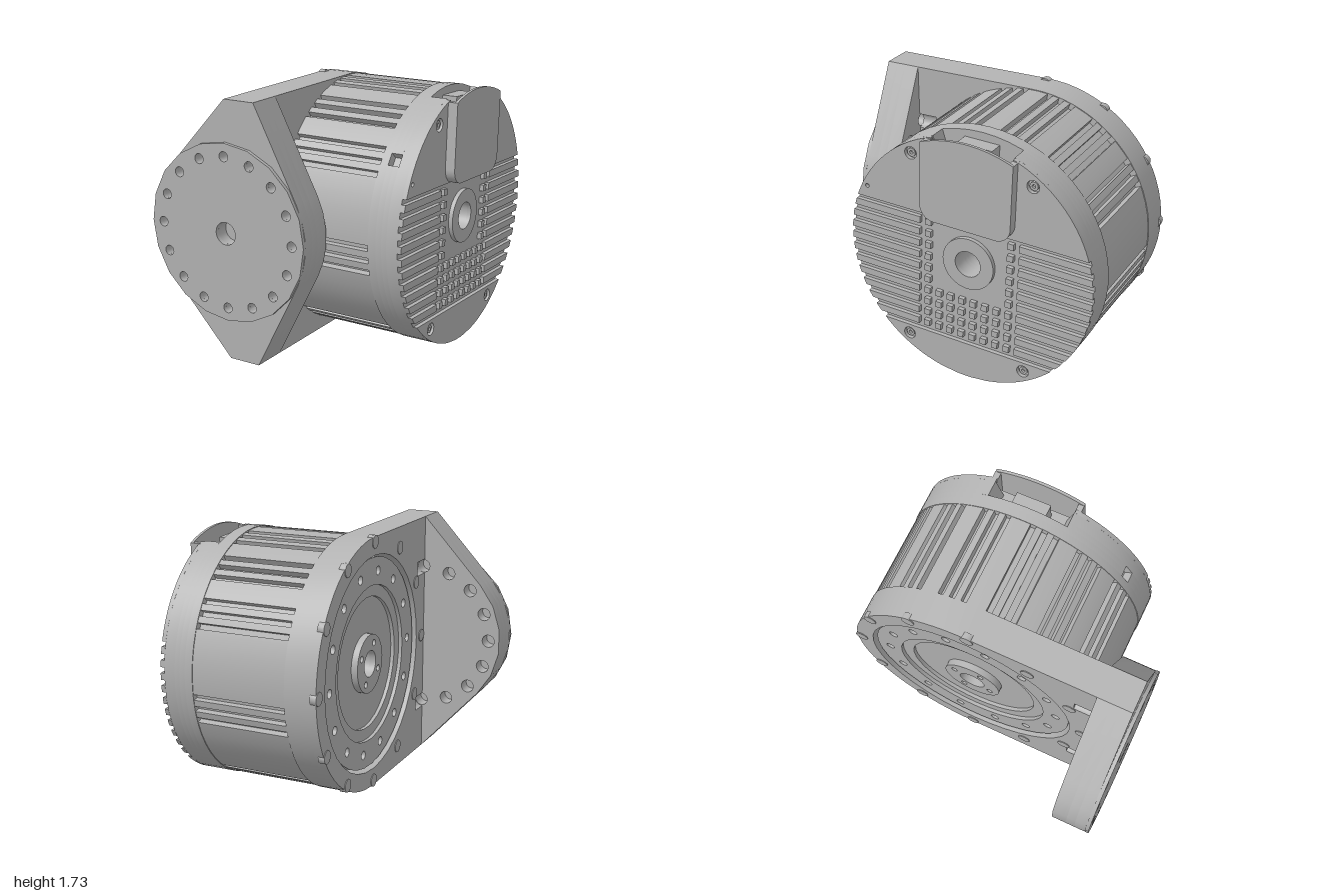
import * as THREE from 'three';
import { toCreasedNormals } from 'three/addons/utils/BufferGeometryUtils.js';

const metal = new THREE.MeshStandardMaterial({ color: 0xb4b4b4 });
metal.name = 'grey metal';
const RAD = Math.PI / 180, R = 0.855, CY = 0.87, CZ = -0.13;
const PX = -0.295, PLATE_R = 0.583; // centre and radius of the front flange

function add(parent, name, geo) {
  const m = new THREE.Mesh(toCreasedNormals(geo, 0.5), metal);
  m.name = name;
  parent.add(m);
  return m;
}
const hole = (x, y, r) => new THREE.Path().absarc(x, y, r, 0, Math.PI * 2, true);
const polygon = pts => new THREE.Shape(pts.map(p => new THREE.Vector2(p[0], p[1])));

// extrude along z from a to b
function alongZ(shape, a, b, seg = 9) {
  return new THREE.ExtrudeGeometry(shape, { depth: b - a, bevelEnabled: false, curveSegments: seg })
    .translate(0, 0, a);
}
// extrude along x from a to b; the shape's x is minus the model's z
const alongX = (shape, a, b, seg = 18) => alongZ(shape, a, b, seg).rotateY(Math.PI / 2);

function disc(r, holes = []) {
  const s = new THREE.Shape().absarc(0, 0, r, 0, Math.PI * 2, false);
  s.holes.push(...holes);
  return s;
}
const circleOfHoles = (n, at, r, start = 0) => Array.from({ length: n }, (_, i) => {
  const a = start + i * Math.PI * 2 / n;
  return hole(at * Math.cos(a), at * Math.sin(a), r);
});

// round outline with rectangular slots [angle from top, half width, depth] and an optional flat on top
function slottedOutline(r, slots, flat) {
  const pts = [];
  const put = (deg, rad) => pts.push([-rad * Math.sin(deg * RAD), rad * Math.cos(deg * RAD)]);
  const marks = [];
  for (let d = -180; d < 180; d += 6) {
    if (!slots.some(s => Math.abs(d - s[0]) <= s[1] + 0.2) && !(flat && Math.abs(d) < 19)) marks.push([d, [r]]);
  }
  for (const [c, w, depth] of slots) {
    marks.push([c - w, [r, r - depth]], [c + w, [r - depth, r]]);
  }
  if (flat) marks.push([-19, [r, flat / Math.cos(19 * RAD)]], [19, [flat / Math.cos(19 * RAD), r]]);
  marks.sort((a, b) => a[0] - b[0]).forEach(([d, radii]) => radii.forEach(q => put(d, q)));
  const s = polygon(pts);
  s.holes.push(hole(0, 0, 0.09));
  return s;
}

// part of a disc between heights v0 and v1 and from u0 to u1
function clippedDisc(u0, u1, v0, v1, r = R) {
  const pts = [], n = 16;
  const w = v => Math.sqrt(Math.max(0, r * r - v * v));
  for (let i = 0; i <= n; i++) {
    const v = v0 + (v1 - v0) * i / n;
    pts.push([Math.min(u1, w(v)), v]);
  }
  for (let i = n; i >= 0; i--) {
    const v = v0 + (v1 - v0) * i / n;
    pts.push([Math.max(u0, -w(v)), v]);
  }
  return polygon(pts);
}

function buildBracket() {
  const g = new THREE.Group();
  g.name = 'bracket';

  // side plate: rounded at the back, square towards the flange
  const side = new THREE.Shape();
  side.moveTo(-0.61, CY - R);
  side.lineTo(-CZ, CY - R);
  side.absarc(-CZ, CY, R, -Math.PI / 2, Math.PI / 2, false);
  side.lineTo(-0.61, CY + R);
  side.holes.push(hole(-CZ, CY, 0.735));
  add(g, 'sidePlate', alongX(side, -0.3, -0.08));

  // web between side plate and flange, with bolt channels on both faces
  const web = new THREE.Shape();
  web.moveTo(-0.3, CY - R);
  web.lineTo(-0.08, CY - R);
  for (const y of [0.41, 1.33]) web.absarc(-0.08, y, 0.05, -Math.PI / 2, Math.PI / 2, true);
  web.lineTo(-0.08, CY + R);
  web.lineTo(-0.3, CY + R);
  for (const y of [1.37, 0.37]) web.absarc(-0.3, y, 0.05, Math.PI / 2, -Math.PI / 2, true);
  add(g, 'channelledWeb', alongZ(web, 0.61, 0.74));

  // flange: tangents run from the web's corners to a round centre
  const flange = (boltR, centre) => {
    const pts = [];
    const arc = (a, b) => {
      for (let i = 0; i <= 5; i++) {
        const t = (a + (b - a) * i / 5) * RAD;
        pts.push([PX + PLATE_R * Math.cos(t), CY + PLATE_R * Math.sin(t)]);
      }
    };
    pts.push([-0.3, CY - R], [-0.08, CY - R]);
    arc(-27, 27);
    pts.push([-0.08, CY + R], [-0.3, CY + R]);
    arc(137, 223);
    const s = polygon(pts);
    if (boltR) s.holes.push(...boltHoles(boltR));
    if (centre) s.holes.push(hole(PX, CY, 0.075));
    return s;
  };
  const boltHoles = r => Array.from({ length: 16 }, (_, i) =>
    hole(PX + 0.498 * Math.cos(i * Math.PI / 8), CY + 0.498 * Math.sin(i * Math.PI / 8), r));
  add(g, 'flangeBack', alongZ(flange(0.045, false), 0.74, 0.84));
  add(g, 'flangeCore', alongZ(flange(0, false), 0.84, 0.9));
  add(g, 'flangeFront', alongZ(flange(0.033, true), 0.9, 0.975));
  const face = new THREE.Shape().absarc(PX, CY, 0.585, 0, Math.PI * 2, false);
  face.holes.push(...boltHoles(0.033), hole(PX, CY, 0.075));
  add(g, 'flangeFace', alongZ(face, 0.975, 1, 10));
  return g;
}

function buildMotor() {
  const g = new THREE.Group();
  g.name = 'motor';
  const bore = hole(0, 0, 0.09);

  // body with groups of three cooling slots
  const slots = [];
  for (const c of [11.5, 34.5, 57.5, 100, 147]) {
    for (const k of [-5.6, 0, 5.6]) slots.push([c + k, 1.3, 0.04], [-c - k, 1.3, 0.04]);
  }
  add(g, 'slottedBody', alongX(slottedOutline(0.85, slots), -0.08, 0.575));

  // rotor face inside the side plate
  add(g, 'rotorRing', alongX(disc(0.715, [hole(0, 0, 0.53), ...circleOfHoles(14, 0.62, 0.03)]), -0.275, -0.08));
  add(g, 'rotorStep', alongX(disc(0.53, [hole(0, 0, 0.45)]), -0.25, -0.08));
  add(g, 'rotorDisc', alongX(disc(0.45, [bore]), -0.225, -0.08));
  add(g, 'rotorHub', alongX(disc(0.2, [bore, ...circleOfHoles(4, 0.145, 0.022, 0.5)]), -0.27, -0.225));

  // end cap in layers, with a side pocket and a connector bay on top
  const pocket = [[56, 2.7, 0.06]];
  add(g, 'capCollar', alongX(slottedOutline(R, []), 0.575, 0.63));
  add(g, 'capPocket', alongX(slottedOutline(R, pocket), 0.63, 0.67));
  add(g, 'capPocketBay', alongX(slottedOutline(R, pocket, 0.66), 0.67, 0.705));
  add(g, 'capBay', alongX(slottedOutline(R, [], 0.66), 0.705, 0.782));

  // raised face areas, leaving a sunken band for the fins
  const X0 = 0.782, X1 = 0.81;
  const cover = s => alongX(s, X0, X1);
  const screws = [[0.42, 0.665], [-0.42, 0.665], [0.42, -0.665], [-0.42, -0.665]];
  const upper = [clippedDisc(-1, -0.28, 0.27, 0.803), clippedDisc(0.28, 1, 0.27, 0.803)];
  const middle = clippedDisc(-0.28, 0.28, 0.27, 0.66);
  const lower = clippedDisc(-1, 1, -0.854, -0.6);
  for (const [u, v] of screws) (v < 0 ? lower : u < 0 ? upper[0] : upper[1]).holes.push(hole(u, v, 0.042));
  upper[0].holes.push(hole(-0.74, 0.35, 0.014)); 
  for (const s of [...upper, middle, lower]) add(g, 'capFace', cover(s));
  for (const [u, v] of screws) {
    add(g, 'capScrew', alongX(disc(0.028, [hole(0, 0, 0.012)]), X0, 0.8, 8).translate(0, v, -u));
  }
  add(g, 'centreBoss', cover(disc(0.18, [bore])));

  // cooling fins at the sides and square pins between them
  for (let row = 0; row < 10; row++) {
    const v = 0.215 - row * 0.084;
    add(g, 'fin', cover(clippedDisc(-1, -0.35, v - 0.023, v + 0.023)));
    add(g, 'fin', cover(clippedDisc(0.35, 1, v - 0.023, v + 0.023)));
    for (let col = 0; col < 8; col++) {
      if (row < 6 && col > 0 && col < 7) continue;
      add(g, 'pin', new THREE.BoxGeometry(X1 - X0, 0.042, 0.042)
        .translate((X0 + X1) / 2, v, (col - 3.5) * 0.083));
    }
  }

  // connector hood, open at the top
  const hoodOutline = (w, b, c, Shape) => {
    const t = Math.sqrt(R * R - w * w), s = new Shape();
    s.moveTo(-w, t);
    s.lineTo(-w, b + c);
    s.absarc(-w + c, b + c, c, Math.PI, Math.PI * 1.5, false);
    s.absarc(w - c, b + c, c, Math.PI * 1.5, Math.PI * 2, false);
    s.lineTo(w, t);
    return s;
  };
  const lid = hoodOutline(0.315, 0.27, 0.1, THREE.Shape);
  const a = Math.acos(0.315 / R);
  lid.absarc(0, 0, R, a, Math.PI - a, false);
  add(g, 'hoodLid', alongX(lid, 0.855, 0.875));
  const wall = hoodOutline(0.315, 0.27, 0.1, THREE.Shape);
  const inner = hoodOutline(0.275, 0.31, 0.07, THREE.Shape).getPoints(6).reverse();
  inner.forEach(p => wall.lineTo(p.x, Math.min(p.y, 0.795)));
  add(g, 'hoodWall', alongX(wall, 0.79, 0.855));
  add(g, 'connectorSocket', new THREE.BoxGeometry(0.1, 0.14, 0.24).translate(0.72, 0.73, 0));

  // whole motor sits slightly turned about its axis
  g.position.set(0, CY, CZ);
  g.rotation.x = -2.7 * RAD;
  return g;
}

function buildRimBolts() {
  const g = new THREE.Group();
  g.name = 'rimBolts';
  for (let i = 0; i < 12; i++) {
    const t = i * 30 * RAD;
    add(g, 'rimBolt', new THREE.CylinderGeometry(0.045, 0.045, 0.045, 14).rotateZ(Math.PI / 2)
      .translate(-0.283, 0.822 * Math.cos(t), 0.822 * Math.sin(t)));
  }
  g.position.set(0, CY, CZ);
  return g;
}

export function createModel() {
  const model = new THREE.Group();
  model.name = 'motorWithBracket';
  model.add(buildBracket(), buildMotor(), buildRimBolts());
  return model;
}
